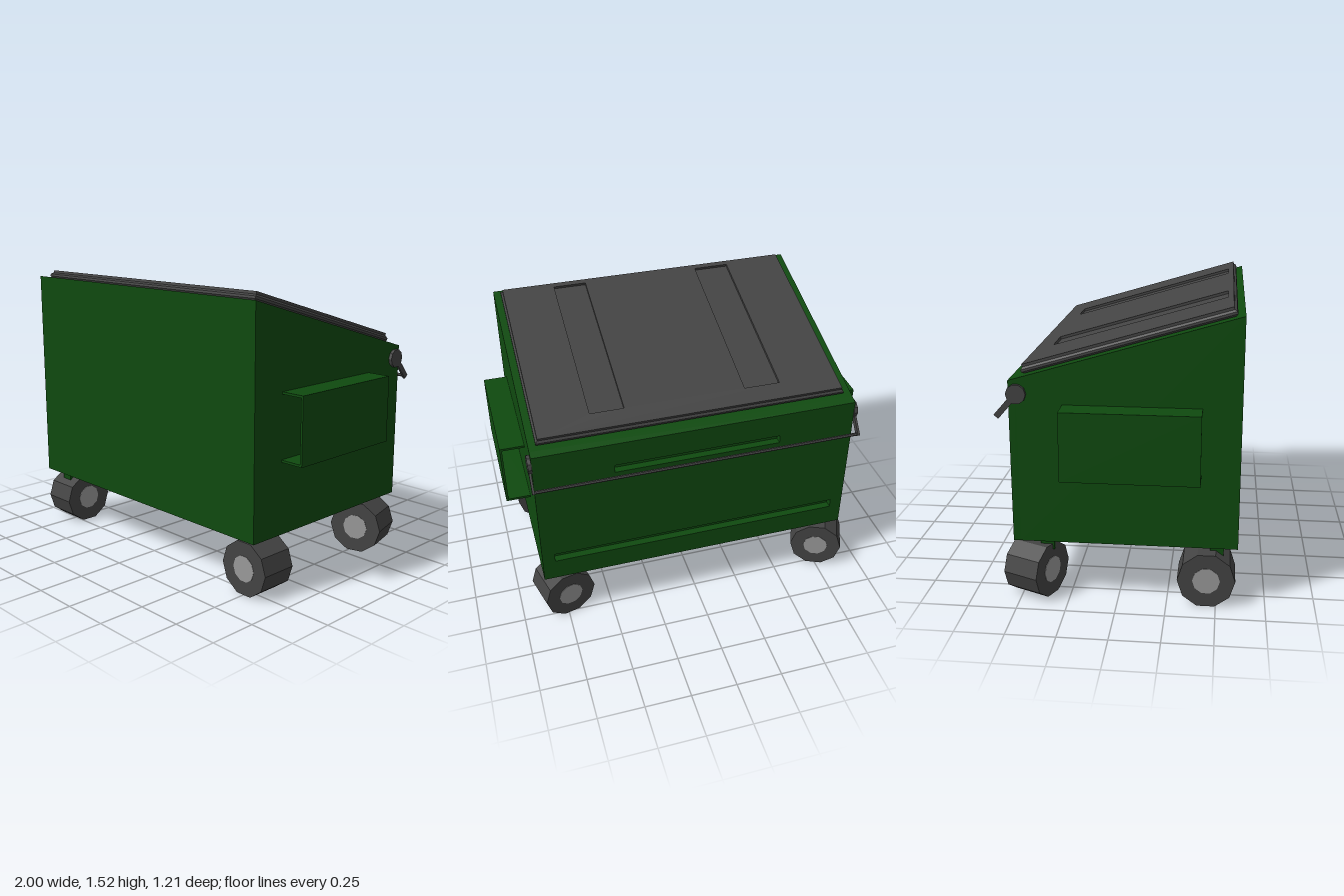
import * as THREE from 'three';

const mat = (color) => new THREE.MeshStandardMaterial({ color, flatShading: true });
const green = mat(0x0f4a0f);
const dark = mat(0x444444);
const hubGrey = mat(0x999999);

const rect = (x0, x1, y0, y1, Type = THREE.Shape) =>
  new Type([[x0, y0], [x1, y0], [x1, y1], [x0, y1]].map(([x, y]) => new THREE.Vector2(x, y)));

const extrude = (shape, depth) => new THREE.ExtrudeGeometry(shape, { depth, bevelEnabled: false });

function add(parent, name, geometry, material) {
  const mesh = new THREE.Mesh(geometry, material);
  mesh.name = name;
  parent.add(mesh);
  return mesh;
}

const W = 0.868, BOTTOM = 0.315, FRONT = 0.605, BACK = -0.53;
const SLOT = 0.04; // depth of the slots in the back wall
const slope = (1.49 - 1.155) / (FRONT - BACK);
const topAt = (z) => 1.155 + slope * (z - BACK);

function createBody() {
  const body = new THREE.Group();
  body.name = 'body';
  // wedge-shaped bin, side profile drawn as (z, y)
  const z0 = BACK + SLOT;
  const profile = new THREE.Shape([[z0, BOTTOM], [FRONT, BOTTOM], [FRONT, 1.49], [z0, topAt(z0)]]
    .map(([z, y]) => new THREE.Vector2(z, y)));
  const bin = extrude(profile, 2 * W).rotateY(-Math.PI / 2).translate(W, 0, 0);
  add(body, 'bin', bin, green);

  // back wall with two long slots, its top edge following the slope
  const wall = rect(-W, W, BOTTOM, 1.155);
  wall.holes.push(rect(-0.45, 0.45, 0.975, 1.02, THREE.Path), rect(-0.8, 0.8, 0.437, 0.487, THREE.Path));
  const wallGeometry = extrude(wall, SLOT).translate(0, 0, BACK);
  const p = wallGeometry.attributes.position;
  for (let i = 0; i < p.count; i++) {
    if (p.getY(i) > 1.15) p.setY(i, topAt(p.getZ(i)));
  }
  add(body, 'backWall', wallGeometry, green);
  return body;
}

function createLid() {
  const lid = new THREE.Group();
  lid.name = 'lid';
  lid.position.set(0.005, topAt(0.0375), 0.0375);
  lid.rotation.x = -Math.atan(slope);
  // lower slab with chamfered rim
  const slab = new THREE.ExtrudeGeometry(rect(-0.815, 0.815, -0.547, 0.517), {
    depth: 0.012, bevelSize: 0.01, bevelThickness: 0.01, bevelSegments: 1,
  }).rotateX(-Math.PI / 2).translate(0, 0.012, 0);
  add(lid, 'lidSlab', slab, dark);
  // top plate with two sunken panels
  const plate = rect(-0.815, 0.815, -0.547, 0.517);
  for (const [x0, x1] of [[-0.495, -0.3], [0.35, 0.53]]) {
    plate.holes.push(rect(x0, x1, -0.517, 0.413, THREE.Path));
  }
  add(lid, 'lidPlate', extrude(plate, 0.014).rotateX(-Math.PI / 2).translate(0, 0.034, 0), dark);
  return lid;
}

// open-ended lifting sleeve on one side
function createSleeve(side) {
  const t = 0.012, x0 = W - 0.005, x1 = 0.998, y0 = 0.69, y1 = 1.04;
  const section = new THREE.Shape([
    [x0, y0], [x1, y0], [x1, y1], [x0, y1], [x0, y1 - t], [x1 - t, y1 - t], [x1 - t, y0 + t], [x0, y0 + t],
  ].map(([x, y]) => new THREE.Vector2(side * x, y)));
  const mesh = new THREE.Mesh(extrude(section, 0.68).translate(0, 0, -0.265), green);
  mesh.name = side > 0 ? 'leftSleeve' : 'rightSleeve';
  return mesh;
}

// locking bar across the back, swinging on two pivots
function createLockBar() {
  const bar = new THREE.Group();
  bar.name = 'lockBar';
  const pivot = new THREE.Vector2(-0.49, 1.09), end = new THREE.Vector2(-0.59, 0.975);
  const arm = end.clone().sub(pivot);
  for (const s of [-1, 1]) {
    const disc = new THREE.CylinderGeometry(0.05, 0.05, 0.02, 10).rotateZ(Math.PI / 2);
    add(bar, 'pivotDisc', disc, dark).position.set(s * (W + 0.008), pivot.y, pivot.x);
    const armMesh = add(bar, 'barArm', new THREE.BoxGeometry(0.012, 0.03, arm.length()), dark);
    armMesh.position.set(s * (W + 0.01), (pivot.y + end.y) / 2, (pivot.x + end.x) / 2);
    armMesh.rotation.x = -Math.atan2(arm.y, arm.x);
  }
  const rod = new THREE.CylinderGeometry(0.009, 0.009, 2 * W + 0.03, 6).rotateZ(Math.PI / 2);
  add(bar, 'rod', rod, dark).position.set(0, 0.982, -0.583);
  return bar;
}

// swivelling wheel with hub discs on both faces
function createWheel(name, x, z, yaw) {
  const wheel = new THREE.Group();
  wheel.name = name;
  wheel.position.set(x, 0.14, z);
  wheel.rotation.y = yaw;
  add(wheel, 'tyre', new THREE.CylinderGeometry(0.147, 0.147, 0.2, 10).rotateZ(Math.PI / 2), dark);
  add(wheel, 'hub', new THREE.CylinderGeometry(0.07, 0.07, 0.204, 10).rotateZ(Math.PI / 2), hubGrey);
  return wheel;
}

export function createModel() {
  const model = new THREE.Group();
  model.name = 'dumpster';
  model.add(createBody(), createLid(), createLockBar(), createSleeve(1), createSleeve(-1));

  // each wheel points its own way: name, x, z, yaw, post z
  const wheels = [
    ['frontRightWheel', -0.78, 0.45, 0, 0.5],
    ['frontLeftWheel', 0.75, 0.45, Math.PI / 2, 0.5],
    ['backRightWheel', -0.784, -0.434, 1.15, -0.365],
    ['backLeftWheel', 0.755, -0.41, -1.32, -0.365],
  ];
  for (const [name, x, z, yaw, postZ] of wheels) {
    model.add(createWheel(name, x, z, yaw));
    add(model, 'wheelPost', new THREE.BoxGeometry(0.07, 0.07, 0.07), green).position.set(x, 0.285, postZ);
  }
  return model;
}
